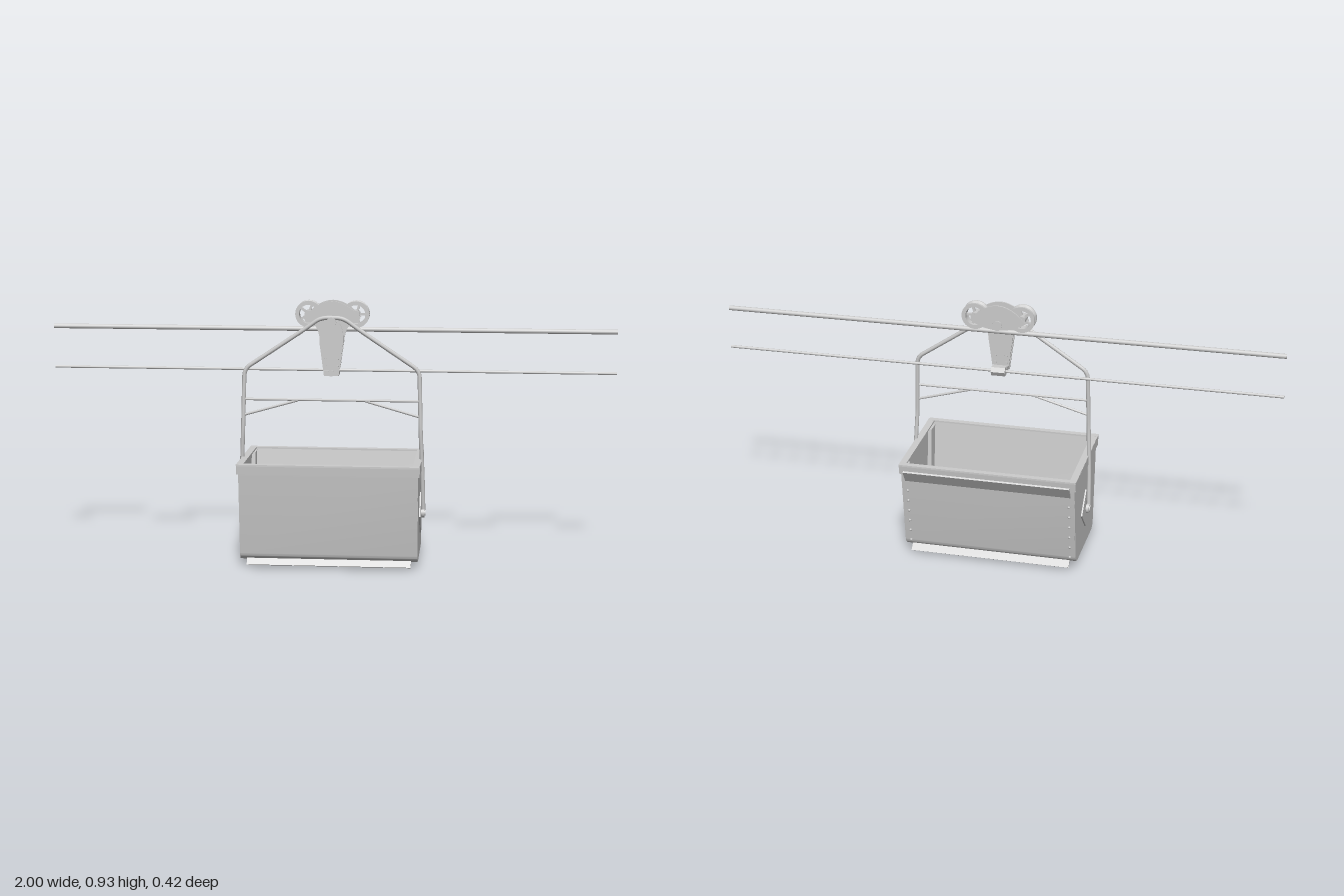
import * as THREE from 'three';
import { toCreasedNormals } from 'three/addons/utils/BufferGeometryUtils.js';

export function createModel() {
  const root = new THREE.Group();
  const mat = new THREE.MeshStandardMaterial({ color: 0xcccccc, side: THREE.DoubleSide });
  const V = (x, y, z) => new THREE.Vector3(x, y, z);
  const add = (name, geo, x = 0, y = 0, z = 0, parent = root) => {
    const m = new THREE.Mesh(geo, mat);
    m.name = name;
    m.position.set(x, y, z);
    parent.add(m);
    return m;
  };
  const box = (name, w, h, d, x, y, z, rx = 0) => {
    const m = add(name, new THREE.BoxGeometry(w, h, d), x, y, z);
    m.rotation.x = rx;
    return m;
  };
  // cylinder along an axis
  const cyl = (name, axis, r, len, x, y, z, sides = 16, parent = root) => {
    const g = new THREE.CylinderGeometry(r, r, len, sides);
    if (axis === 'x') g.rotateZ(Math.PI / 2);
    if (axis === 'z') g.rotateX(Math.PI / 2);
    return add(name, sides < 8 ? g.toNonIndexed() : g, x, y, z, parent);
  };
  const extrude = (shape, depth) => toCreasedNormals(
    new THREE.ExtrudeGeometry(shape, { depth, bevelEnabled: false, curveSegments: 12 }), 0.6);
  // profile in (-z, y), extruded along x and centred
  const extrudeX = (name, shape, len, x = 0) =>
    add(name, extrude(shape, len).translate(0, 0, -len / 2).rotateY(Math.PI / 2), x);
  const poly = (pts) => new THREE.Shape(pts.map(([z, y]) => new THREE.Vector2(-z, y)));
  // rod through points, with rounded bends
  const rod = (name, pts, r) => {
    const path = new THREE.CurvePath();
    let from = pts[0];
    for (let i = 1; i < pts.length - 1; i++) {
      const p = pts[i];
      const cut = (q) => p.clone().add(q.clone().sub(p).setLength(Math.min(0.025, q.distanceTo(p) * 0.45)));
      const a = cut(pts[i - 1]), b = cut(pts[i + 1]);
      path.add(new THREE.LineCurve3(from, a));
      path.add(new THREE.QuadraticBezierCurve3(a, p, b));
      from = b;
    }
    path.add(new THREE.LineCurve3(from, pts[pts.length - 1]));
    return add(name, new THREE.TubeGeometry(path, pts.length > 2 ? 160 : 2, r, 8));
  };

  // bucket: U-shaped sheet between two end plates
  const trace = (s, t, first) => {
    const a = [-0.2 + t, 0.372], b = [-0.161 + t, 0.025 + t], c = [0.142 - t, 0.025 + t], d = [0.19 - t, 0.362];
    if (first) s.moveTo(...a); else s.lineTo(...a);
    s.lineTo(b[0] - 0.004, b[1] + 0.032);
    s.quadraticCurveTo(b[0], b[1], b[0] + 0.03, b[1]);
    s.lineTo(c[0] - 0.03, c[1]);
    s.quadraticCurveTo(c[0], c[1], c[0] + 0.005, c[1] + 0.032);
    s.lineTo(...d);
    return s;
  };
  const sheet = trace(new THREE.Shape(), 0, true);
  const t = 0.005;
  sheet.lineTo(0.19 - t, 0.362);
  sheet.lineTo(0.147 - t, 0.057 + t);
  sheet.quadraticCurveTo(0.142 - t, 0.025 + t, 0.112 - t, 0.025 + t);
  sheet.lineTo(-0.131 + t, 0.025 + t);
  sheet.quadraticCurveTo(-0.161 + t, 0.025 + t, -0.165 + t, 0.057 + t);
  sheet.lineTo(-0.2 + t, 0.372);
  extrudeX('bucketWalls', sheet, 0.624);
  for (const s of [-1, 1]) {
    extrudeX('bucketEnd', trace(new THREE.Shape(), 0.001, true), 0.006, s * 0.311);
    // sloped rim band with inward flange
    extrudeX('endRim', poly([[0.205, 0.378], [0.2, 0.342], [-0.188, 0.33], [-0.192, 0.364]]), 0.007, s * 0.317);
    extrudeX('endRimFlange', poly([[0.205, 0.379], [0.205, 0.373], [-0.195, 0.36], [-0.195, 0.366]]), 0.024, s * 0.308);
    // inner corner stiffeners
    extrudeX('cornerStiffener', poly([[0.195, 0.36], [0.16, 0.045], [0.115, 0.045], [0.145, 0.36]]), 0.014, s * 0.301);
    extrudeX('cornerStiffener', poly([[-0.185, 0.355], [-0.143, 0.045], [-0.1, 0.045], [-0.135, 0.355]]), 0.014, s * 0.301);
    // rivets up the back corners
    for (let i = 0; i < 6; i++) {
      const y = 0.05 + i * 0.042;
      const g = new THREE.SphereGeometry(0.005, 8, 6);
      add('rivet', g, s * 0.293, y, -0.146 - (y - 0.05) * 0.143);
    }
    // pivot
    box('pivotPlate', 0.006, 0.104, 0.104, s * 0.316, 0.175, 0.008, Math.PI / 4);
    cyl('pivotPin', 'x', 0.012, 0.026, s * 0.322, 0.175, 0.008);
    cyl('pivotCollar', 'x', 0.018, 0.01, s * 0.326, 0.175, 0.008);
  }
  box('frontRim', 0.636, 0.034, 0.007, 0, 0.36, 0.203, 0.1);
  box('frontRimFlange', 0.636, 0.006, 0.022, 0, 0.376, 0.199);
  box('backRim', 0.636, 0.034, 0.007, 0, 0.347, -0.191, -0.13);
  box('backRimFlange', 0.636, 0.006, 0.022, 0, 0.364, -0.187);
  extrudeX('backFlap', poly([[-0.178, 0.303], [-0.183, 0.3], [-0.213, 0.345], [-0.208, 0.349]]), 0.6);
  // skid strips along the bottom edges
  extrudeX('frontSkid', poly([[0.144, 0.035], [0.149, 0.037], [0.17, 0.012], [0.165, 0.009]]), 0.58);
  extrudeX('backSkid', poly([[-0.127, 0.035], [-0.132, 0.037], [-0.155, 0.012], [-0.15, 0.009]]), 0.58);
  // latch loops below the floor
  for (const z of [0.021, -0.006])
    rod('latchLoop', [V(-0.215, 0.03, z), V(-0.215, 0.003, z), V(-0.142, 0.003, z), V(-0.142, 0.03, z)], 0.003);
  box('latchPlate', 0.08, 0.005, 0.032, -0.178, 0.022, 0.008);

  // hanger bail
  const side = [[0.327, 0.175, 0.012], [0.324, 0.3, 0.025], [0.316, 0.47, 0.039], [0.31, 0.69, 0.032], [0.1, 0.83, 0.03], [0.04, 0.874, 0.03]];
  rod('hanger', [...side.map(([x, y, z]) => V(-x, y, z)), ...side.reverse().map((p) => V(...p))], 0.0075);
  rod('crossBar', [V(-0.312, 0.582, 0.036), V(0.312, 0.582, 0.036)], 0.0045);
  for (const s of [-1, 1])
    rod('brace', [V(s * 0.315, 0.525, 0.038), V(s * 0.12, 0.58, 0.036)], 0.0045);

  // cables
  cyl('trackCable', 'x', 0.0085, 2, 0, 0.83, -0.008);
  cyl('haulCable', 'x', 0.005, 2, 0, 0.683, -0.012);

  // grooved wheels
  const rim = [[0.033, -0.018], [0.047, -0.018], [0.047, -0.013], [0.041, -0.005], [0.041, 0.005], [0.047, 0.013], [0.047, 0.018], [0.033, 0.018], [0.033, -0.018]];
  const rimGeo = toCreasedNormals(new THREE.LatheGeometry(rim.map((p) => new THREE.Vector2(...p)), 32).rotateX(Math.PI / 2), 0.5);
  for (const s of [-1, 1]) {
    const wheel = new THREE.Group();
    wheel.name = 'wheel';
    wheel.position.set(s * 0.084, 0.884, -0.006);
    root.add(wheel);
    add('wheelRim', rimGeo, 0, 0, 0, wheel);
    cyl('wheelHub', 'z', 0.014, 0.044, 0, 0, 0, 16, wheel);
    for (let i = 0; i < 5; i++) {
      const a = i * Math.PI * 0.4;
      const m = add('spoke', new THREE.BoxGeometry(0.026, 0.008, 0.01), Math.cos(a) * 0.023, Math.sin(a) * 0.023, 0, wheel);
      m.rotation.z = a;
    }
  }

  // carriage cheeks: arched front with a stem, lens-shaped back
  const front = new THREE.Shape();
  front.moveTo(-0.1, 0.872);
  front.quadraticCurveTo(0, 0.99, 0.1, 0.872);
  front.lineTo(0.092, 0.855);
  front.quadraticCurveTo(0.048, 0.86, 0.043, 0.79);
  front.lineTo(0.03, 0.695);
  front.lineTo(-0.03, 0.695);
  front.lineTo(-0.043, 0.79);
  front.quadraticCurveTo(-0.048, 0.86, -0.092, 0.855);
  add('frontCheek', extrude(front, 0.006), 0, 0, 0.013);
  const back = new THREE.Shape();
  back.moveTo(-0.1, 0.872);
  back.quadraticCurveTo(0, 0.99, 0.1, 0.872);
  back.quadraticCurveTo(0, 0.81, -0.1, 0.872);
  add('backCheek', extrude(back, 0.006), 0, 0, -0.031);
  const stem = new THREE.Shape();
  stem.moveTo(-0.026, 0.67);
  stem.lineTo(-0.042, 0.79);
  stem.quadraticCurveTo(-0.045, 0.868, 0, 0.87);
  stem.quadraticCurveTo(0.045, 0.868, 0.042, 0.79);
  stem.lineTo(0.026, 0.67);
  add('stemPlate', extrude(stem, 0.007), 0, 0, 0.042);
  for (const s of [-1, 1])
    for (const y of [0.705, 0.73]) cyl('stemBolt', 'z', 0.005, 0.042, s * 0.02, y, 0.032, 10);

  // main axle with end collars
  cyl('axle', 'z', 0.009, 0.1, 0, 0.86, 0.012);
  for (const z of [0.06, 0.05, -0.028, -0.037]) cyl('axleCollar', 'z', 0.018, 0.005, 0, 0.86, z);

  // haul cable grip
  box('gripArm', 0.05, 0.016, 0.045, 0, 0.683, 0.03);
  cyl('gripScrew', 'z', 0.006, 0.08, 0, 0.683, 0.03);
  cyl('gripScrewHead', 'z', 0.012, 0.006, 0, 0.683, 0.066, 10);
  const nut = new THREE.CylinderGeometry(0.018, 0.018, 0.05, 6).rotateZ(Math.PI / 2);
  add('gripClamp', toCreasedNormals(nut, 0.3), 0, 0.683, -0.012);
  return root;
}
